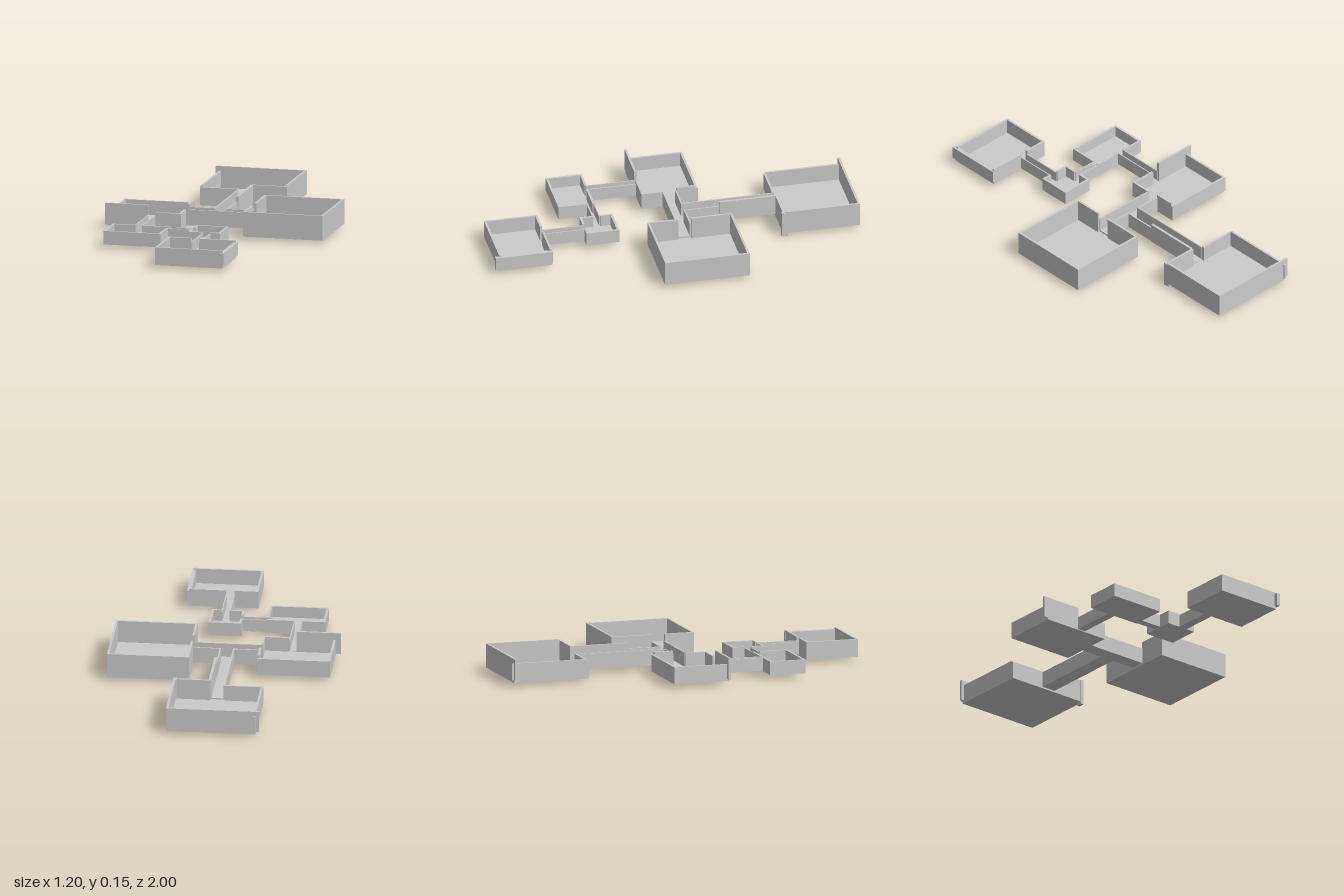
import * as THREE from 'three';

const T = 0.012; // wall thickness
const material = new THREE.MeshStandardMaterial({ color: 0xcccccc, flatShading: true });

// Box given by its limits on each axis
function block(group, name, x0, x1, y0, y1, z0, z1) {
  const mesh = new THREE.Mesh(new THREE.BoxGeometry(x1 - x0, y1 - y0, z1 - z0), material);
  mesh.position.set((x0 + x1) / 2, (y0 + y1) / 2, (z0 + z1) / 2);
  mesh.name = name;
  group.add(mesh);
}

// Splits the run a..b into solid pieces either side of a doorway
function pieces(a, b, door) {
  return door ? [[a, door[0]], [door[1], b]].filter(([p, q]) => q - p > 0.001) : [[a, b]];
}

// Open-topped room: floor and four walls; tops = one height per wall or per piece
function room(name, [x0, x1], [z0, z1], base, top, doors = {}, tops = {}) {
  const g = new THREE.Group();
  g.name = name;
  block(g, 'floor', x0, x1, base, base + 0.012, z0, z1);
  const height = (side, i) => [tops[side] ?? top].flat()[i] ?? [tops[side] ?? top].flat()[0];
  for (const [side, z] of [['back', z0], ['front', z1 - T]]) {
    pieces(x0, x1, doors[side]).forEach(([a, b], i) =>
      block(g, side + 'Wall', a, b, base, height(side, i), z, z + T));
  }
  for (const [side, x] of [['west', x0], ['east', x1 - T]]) {
    pieces(z0 + T, z1 - T, doors[side]).forEach(([a, b], i) =>
      block(g, side + 'Wall', x, x + T, base, height(side, i), a, b));
  }
  return g;
}

// Passage: floor plus two side walls along x or z
function corridor(name, axis, [x0, x1], [z0, z1], base, top, t = 0.006) {
  const g = new THREE.Group();
  g.name = name;
  block(g, 'floor', x0, x1, base, base + 0.01, z0, z1);
  if (axis === 'x') {
    for (const z of [z0, z1 - t]) block(g, 'sideWall', x0, x1, base, top, z, z + t);
  } else {
    for (const x of [x0, x1 - t]) block(g, 'sideWall', x, x + t, base, top, z0, z1);
  }
  return g;
}

export function createModel() {
  const model = new THREE.Group();
  model.name = 'floorPlan';

  // Three large rooms around the junction
  const north = room('northRoom', [-0.262, 0.215], [-0.99, -0.572], 0.016, 0.145,
    { front: [-0.055, 0.02] }, { west: 0.12, front: [0.113, 0.14] });
  block(north, 'backWallEnd', -0.28, -0.262, 0.03, 0.145, -0.99, -0.978);
  block(north, 'westWallEnd', -0.262, -0.25, 0.03, 0.12, -1, -0.99);
  block(north, 'cornerPost', 0.2, 0.217, 0, 0.14, -0.598, -0.565);

  const west = room('westRoom', [-0.578, -0.19], [-0.2, 0.106], 0.02, 0.11,
    { front: [-0.37, -0.33], east: [-0.083, -0.01] }, { front: [0.148, 0.11], east: [0.125, 0.11] });
  block(west, 'frontWallEnd', -0.605, -0.578, 0.03, 0.148, 0.094, 0.106);

  const east = room('eastRoom', [0.162, 0.598], [-0.306, 0.153], 0.015, 0.148,
    { west: [-0.083, -0.01] });

  // Three small rooms at the front
  const small = room('smallRoom', [-0.495, -0.183], [0.362, 0.558], 0.02, 0.093,
    { back: [-0.37, -0.33], east: [0.362, 0.402] });
  const square = room('squareRoom', [-0.055, 0.12], [0.295, 0.473], 0.022, 0.095,
    { west: [0.362, 0.402], front: [0.022, 0.066] });
  const south = room('southRoom', [-0.105, 0.265], [0.692, 0.98], 0.015, 0.11,
    { back: [0.022, 0.066] }, { east: 0.1 });
  block(south, 'eastWallEnd', 0.255, 0.275, 0.03, 0.1, 0.69, 1);

  // Wide T-shaped passage: one arm east to west, one arm to the north room
  const junction = new THREE.Group();
  junction.name = 'junctionPassage';
  block(junction, 'crossFloor', -0.19, 0.162, 0.025, 0.035, -0.085, -0.008);
  block(junction, 'northFloor', -0.058, 0.022, 0.025, 0.035, -0.572, -0.085);
  block(junction, 'frontWall', -0.19, 0.162, 0.025, 0.11, -0.016, -0.008);
  block(junction, 'backWallWest', -0.19, -0.05, 0.025, 0.11, -0.085, -0.077);
  block(junction, 'backWallEast', 0.014, 0.162, 0.025, 0.11, -0.085, -0.077);
  block(junction, 'northArmWestWall', -0.058, -0.05, 0.025, 0.11, -0.572, -0.085);
  block(junction, 'northArmEastWall', 0.014, 0.022, 0.025, 0.11, -0.268, -0.085);
  block(junction, 'tallEastWall', 0.016, 0.03, 0.03, 0.14, -0.572, -0.268);

  model.add(north, west, east, small, square, south, junction,
    corridor('westPassage', 'z', [-0.374, -0.328], [0.1, 0.368], 0.024, 0.093),
    corridor('middlePassage', 'x', [-0.188, -0.05], [0.362, 0.404], 0.024, 0.09),
    corridor('southPassage', 'z', [0.02, 0.068], [0.468, 0.698], 0.022, 0.09));
  return model;
}
